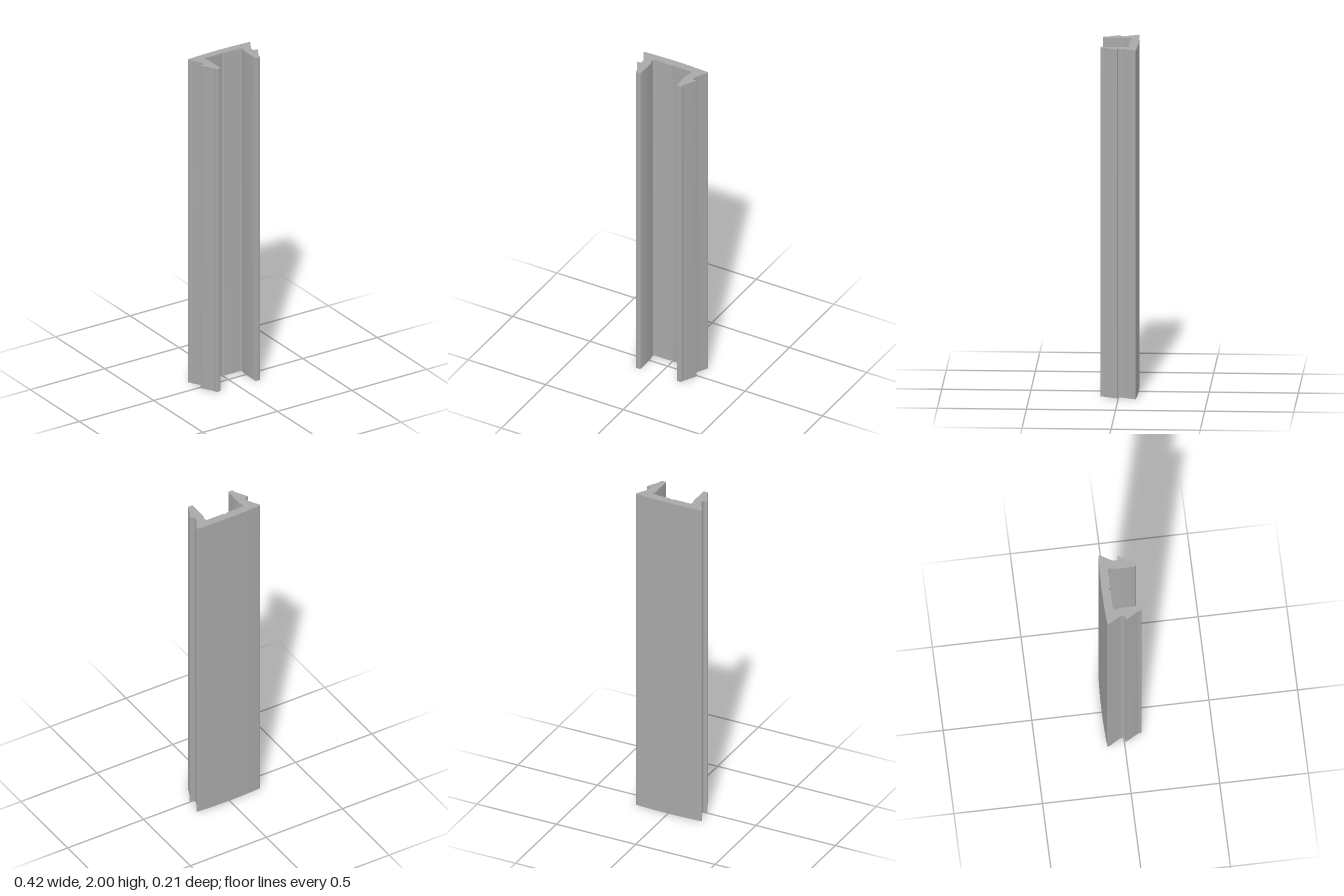
import * as THREE from 'three';
import { toCreasedNormals } from 'three/addons/utils/BufferGeometryUtils.js';

const LENGTH = 2;

// Corners of the +x half of the section: [x, z, length trimmed for rounding]
const HALF = [
  [0.212, -0.0985, 0.013], // wide lip of the cover
  [0.167, -0.021, 0.005],
  [0.167, 0.006, 0.008], // clip groove
  [0.1935, 0.006, 0.007], // barb
  [0.149, 0.084, 0.006],
  [0.148, 0.102, 0.007], // foot of the leg
  [0.117, 0.102, 0.007],
  [0.117, -0.02, 0.004], // inner relief
  [0.123, -0.031, 0.004],
  [0.123, -0.056, 0.01],
  [0.01, -0.056, 0.002], // centre notch
];

function sectionCorners() {
  // Gently crowned back
  const crown = [];
  for (let i = -8; i <= 8; i++) {
    const t = i / 8;
    crown.push([0.19 * t, -0.105 + 0.006 * t * t, 0]);
  }
  const mirrored = HALF.map(([x, z, r]) => [-x, z, r]).reverse();
  return [...crown, ...HALF, [0, -0.0655, 0.002], ...mirrored];
}

// Closed shape with each corner replaced by a small curve
function roundedShape(corners) {
  const points = corners.map(([x, z]) => new THREE.Vector2(x, -z));
  const n = points.length;
  const toward = (a, b, d) => b.clone().sub(a).setLength(d).add(a);
  const shape = new THREE.Shape();
  points.forEach((p, i) => {
    const r = corners[i][2];
    const start = r ? toward(p, points[(i + n - 1) % n], r) : p;
    if (i === 0) shape.moveTo(start.x, start.y);
    else shape.lineTo(start.x, start.y);
    if (r) {
      const end = toward(p, points[(i + 1) % n], r);
      shape.quadraticCurveTo(p.x, p.y, end.x, end.y);
    }
  });
  shape.closePath();
  return shape;
}

export function createModel() {
  const model = new THREE.Group();
  model.name = 'clipInCoverProfile';

  const grey = new THREE.MeshStandardMaterial({ color: 0xa8a8a8 });
  grey.name = 'grey';

  // Constant section extruded upright
  const extruded = new THREE.ExtrudeGeometry(roundedShape(sectionCorners()), {
    depth: LENGTH,
    bevelEnabled: false,
    curveSegments: 6,
  });
  extruded.rotateX(-Math.PI / 2);

  const profile = new THREE.Mesh(toCreasedNormals(extruded, 0.55), grey);
  profile.name = 'coverProfile';
  model.add(profile);
  return model;
}
